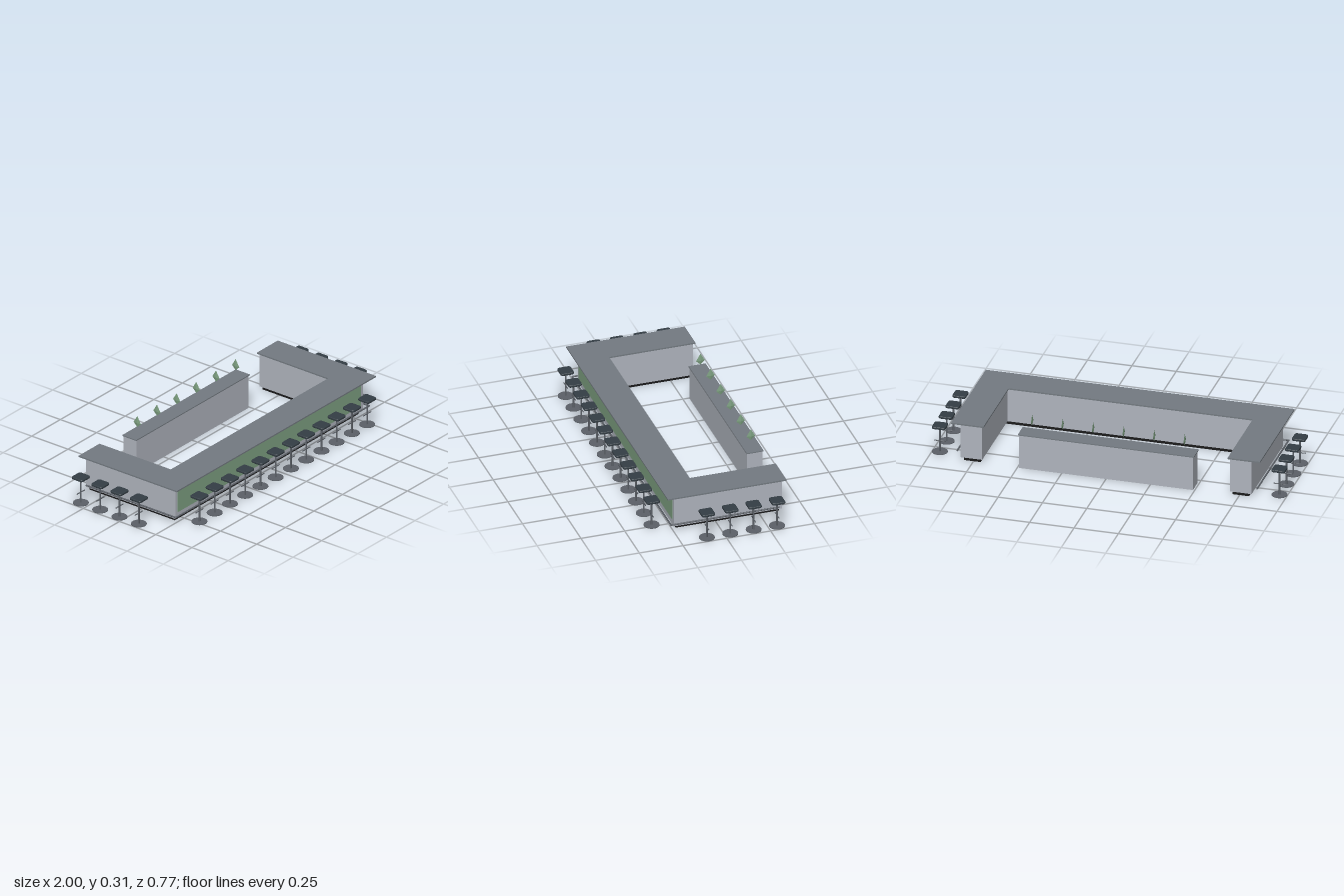
import * as THREE from 'three';

const mat = (name, color) => Object.assign(new THREE.MeshStandardMaterial({ color }), { name });

export function createModel() {
  const bar = new THREE.Group();
  bar.name = 'barCounter';
  const body = mat('pale grey', 0xb0b5be);
  const stone = mat('slate worktop', 0x747b82);
  const green = mat('sage green', 0x7fa283);
  const black = mat('black plinth', 0x1a1a1b);
  const steel = mat('dark steel', 0x5c6168);
  const leather = mat('charcoal seat', 0x343e45);

  const add = (parent, name, geo, material, x = 0, y = 0, z = 0) => {
    const m = new THREE.Mesh(geo, material);
    m.name = name;
    m.position.set(x, y, z);
    parent.add(m);
    return m;
  };

  // Horizontal slab from a plan outline in x and z
  const slab = (shape, y0, y1) =>
    new THREE.ExtrudeGeometry(shape, { depth: y1 - y0, bevelEnabled: false })
      .rotateX(Math.PI / 2).translate(0, y1, 0);

  // U-shaped plan: outer half width, front, back, inner half width, inner front
  const uPlan = (xo, front, back, xi, inner) => new THREE.Shape([
    [-xo, front], [-xo, back], [-xi, back], [-xi, inner],
    [xi, inner], [xi, back], [xo, back], [xo, front],
  ].map(([x, z]) => new THREE.Vector2(x, z)));

  // Main counter
  add(bar, 'plinth', slab(uPlan(0.803, 0.226, -0.363, 0.71, 0.13), 0, 0.02), black);
  add(bar, 'counterBody', slab(uPlan(0.82, 0.243, -0.374, 0.698, 0.12), 0.02, 0.218), body);
  add(bar, 'worktop', slab(uPlan(0.87, 0.293, -0.384, 0.688, 0.108), 0.218, 0.226), stone);
  add(bar, 'frontPanel', new THREE.BoxGeometry(1.6, 0.141, 0.004), green, 0, 0.126, 0.245);

  // Foot rail round three sides
  const rail = new THREE.CurvePath();
  const pts = [[-0.845, -0.352], [-0.845, 0.267], [0.845, 0.267], [0.845, -0.352]]
    .map(([x, z]) => new THREE.Vector3(x, 0.046, z));
  for (let i = 0; i < 3; i++) {
    const len = pts[i].distanceTo(pts[i + 1]);
    const g = new THREE.CylinderGeometry(0.0045, 0.0045, len, 12);
    if (i === 1) g.rotateZ(Math.PI / 2); else g.rotateX(Math.PI / 2);
    const c = pts[i].clone().lerp(pts[i + 1], 0.5);
    add(bar, 'footRail', g, steel, c.x, c.y, c.z);
  }
  for (const i of [1, 2])
    add(bar, 'railCorner', new THREE.SphereGeometry(0.0045, 12, 8), steel, ...pts[i].toArray());

  // Back bar
  add(bar, 'backBarBody', new THREE.BoxGeometry(0.98, 0.197, 0.088), body, 0, 0.0985, -0.33);
  add(bar, 'backBarTop', new THREE.BoxGeometry(0.992, 0.006, 0.097), stone, 0, 0.2, -0.33);

  // Thin kite-shaped ornaments above the back bar
  const kite = new THREE.OctahedronGeometry(1);
  const kp = kite.attributes.position;
  for (let i = 0; i < kp.count; i++) {
    const y = kp.getY(i);
    kp.setXYZ(i, kp.getX(i) * 0.004, y * (y > 0 ? 0.043 : 0.025), kp.getZ(i) * 0.025);
  }
  kite.computeVertexNormals();
  for (let i = 0; i < 6; i++)
    add(bar, 'leafOrnament', kite, green, (i - 2.5) * 0.172, 0.266, -0.327);

  // Stool parts, shared by every stool
  const h = 0.034, r = 0.01;
  const seatPlan = new THREE.Shape();
  seatPlan.moveTo(-h + r, -h);
  seatPlan.lineTo(h - r, -h).quadraticCurveTo(h, -h, h, -h + r);
  seatPlan.lineTo(h, h - r).quadraticCurveTo(h, h, h - r, h);
  seatPlan.lineTo(-h + r, h).quadraticCurveTo(-h, h, -h, h - r);
  seatPlan.lineTo(-h, -h + r).quadraticCurveTo(-h, -h, -h + r, -h);
  const seatGeo = new THREE.ExtrudeGeometry(seatPlan, {
    depth: 0.006, bevelThickness: 0.004, bevelSize: 0.004, bevelSegments: 3, curveSegments: 4,
  }).rotateX(Math.PI / 2).translate(0, 0.159, 0);
  const baseGeo = new THREE.CylinderGeometry(0.043, 0.043, 0.004, 28);
  const poleGeo = new THREE.CylinderGeometry(0.005, 0.005, 0.142, 12);
  const mountGeo = new THREE.CylinderGeometry(0.03, 0.026, 0.006, 20);
  const restGeo = new THREE.CylinderGeometry(0.003, 0.003, 0.066, 8).rotateZ(Math.PI / 2);

  const stool = (x, z) => {
    const s = new THREE.Group();
    s.name = 'stool';
    add(s, 'base', baseGeo, steel, 0, 0.002, 0);
    add(s, 'pole', poleGeo, steel, 0, 0.075, 0);
    add(s, 'footRest', restGeo, steel, 0, 0.066, 0);
    add(s, 'seatMount', mountGeo, leather, 0, 0.147, 0);
    add(s, 'seat', seatGeo, leather);
    s.position.set(x, 0, z);
    bar.add(s);
  };

  // Twelve stools in front, four on each side
  for (let i = 0; i < 12; i++) stool((i - 5.5) * 0.1333, 0.341);
  for (const side of [-1, 1])
    for (let i = 0; i < 4; i++) stool(side * 0.957, 0.1 - i * 0.1335);

  return bar;
}
